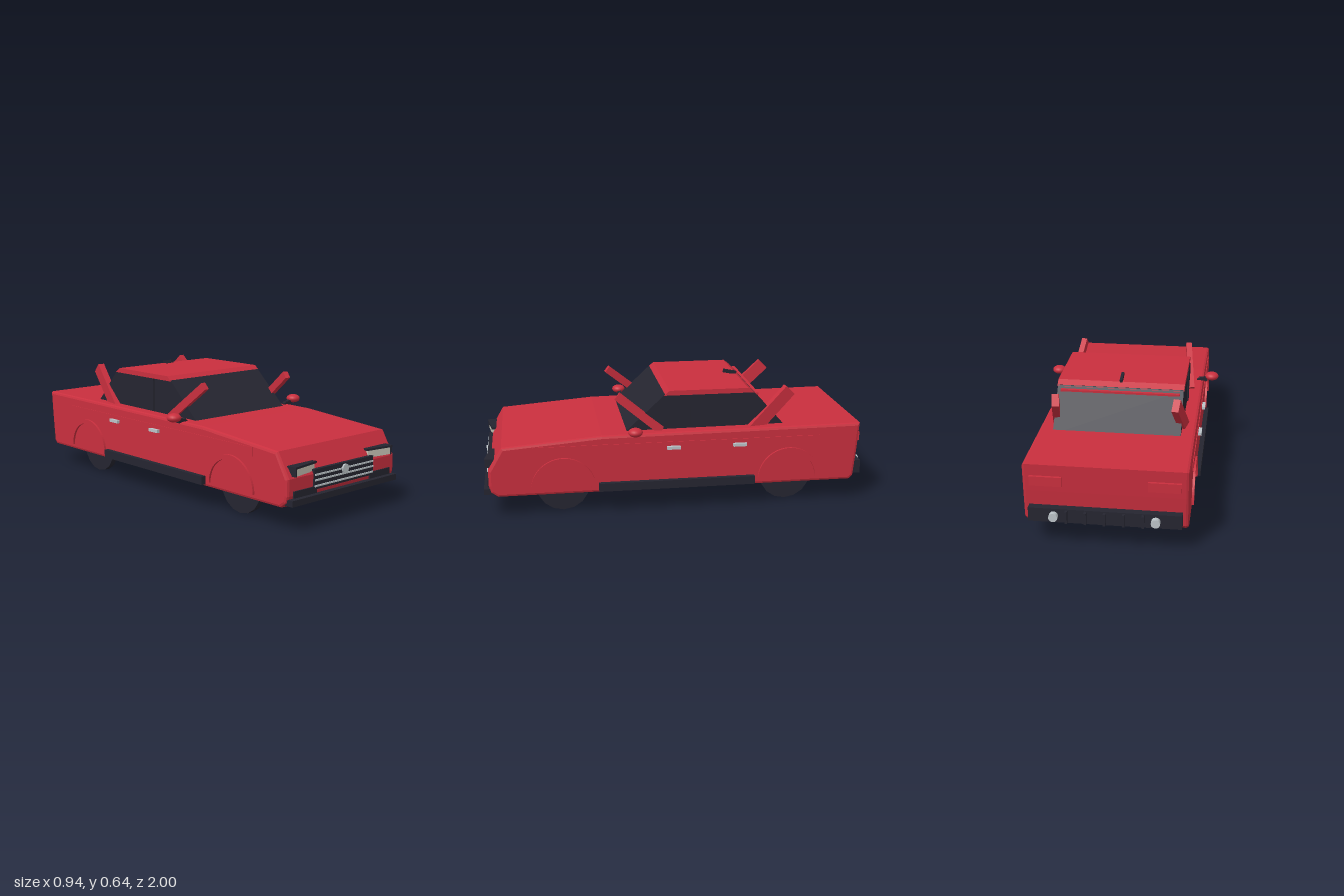
import * as THREE from 'three';

export function createModel() {
  const car = new THREE.Group();
  car.name = 'car';
  const mat = (name, color) => {
    const m = new THREE.MeshStandardMaterial({ color });
    m.name = name;
    return m;
  };
  const red = mat('red paint', 0xc92f3e);
  const black = mat('black trim and glass', 0x252530);
  const cream = mat('headlight lens', 0xcac6b8);
  const chrome = mat('chrome', 0xbcc4c8);

  const add = (name, geo, m, x = 0, y = 0, z = 0) => {
    const mesh = new THREE.Mesh(geo, m);
    mesh.name = name;
    mesh.position.set(x, y, z);
    car.add(mesh);
    return mesh;
  };
  // Box given by its limits on each axis
  const box = (name, m, x0, x1, y0, y1, z0, z1) =>
    add(name, new THREE.BoxGeometry(Math.abs(x1 - x0), y1 - y0, z1 - z0), m,
      (x0 + x1) / 2, (y0 + y1) / 2, (z0 + z1) / 2);
  // Side profile in (z, y) extruded across x, centred on x = 0
  const across = (shape, width, bevel = 0) => {
    const g = new THREE.ExtrudeGeometry(shape, {
      depth: width - 2 * bevel, bevelEnabled: bevel > 0, bevelSize: bevel,
      bevelThickness: bevel, bevelOffset: -bevel, bevelSegments: 2, curveSegments: 20,
    });
    g.translate(0, 0, -(width - 2 * bevel) / 2);
    return g.rotateY(-Math.PI / 2);
  };
  const outline = (pts) => new THREE.Shape(pts.map((p) => new THREE.Vector2(...p)));
  // Square bar between two points
  const bar = (name, m, a, b, w, h) => {
    const p = new THREE.Vector3(...a), q = new THREE.Vector3(...b);
    const mesh = add(name, new THREE.BoxGeometry(w, h, p.distanceTo(q)), m);
    mesh.position.copy(p).lerp(q, 0.5);
    mesh.lookAt(q);
    return mesh;
  };

  // Body shell
  add('body', across(outline([
    [0.93, 0.11], [0.965, 0.135], [0.975, 0.17], [0.975, 0.25], [0.905, 0.37], [0.4, 0.41],
    [0.2, 0.412], [-0.955, 0.42], [-0.945, 0.28], [-0.93, 0.13], [-0.91, 0.11],
  ]), 0.78, 0.014), red);

  // Cabin glass and roof
  add('cabinGlass', across(outline([
    [0.28, 0.4], [0.07, 0.595], [-0.395, 0.595], [-0.57, 0.4],
  ]), 0.636), black);
  add('roof', across(outline([
    [0.074, 0.59], [0.045, 0.615], [-0.365, 0.615], [-0.4, 0.59],
  ]), 0.642), red);
  box('rearRoofTrim', red, -0.3, 0.3, 0.572, 0.582, -0.425, -0.38);
  const antenna = box('antenna', black, -0.007, 0.007, 0.616, 0.634, -0.37, -0.297);
  antenna.rotation.x = -0.2;

  // Front bumper, lower trim and grille
  box('frontBumper', black, -0.38, 0.38, 0.125, 0.155, 0.93, 1);
  box('grille', black, -0.215, 0.215, 0.175, 0.272, 0.93, 0.982);
  for (const y of [0.192, 0.22, 0.246])
    box('grilleBar', chrome, -0.212, 0.212, y - 0.004, y + 0.004, 0.975, 0.987);
  add('grilleDisc', new THREE.CylinderGeometry(0.022, 0.022, 0.014, 16).rotateX(Math.PI / 2),
    chrome, 0, 0.244, 0.984);

  // Rear bumper with upright ribs
  box('rearBumper', black, -0.362, 0.362, 0.135, 0.205, -0.975, -0.92);
  for (let i = -2; i <= 2; i++)
    box('rearBumperRib', black, i * 0.09 - 0.006, i * 0.09 + 0.006, 0.14, 0.2, -0.995, -0.97);

  for (const s of [1, -1]) {
    box('lowerFrontTrim', black, s * 0.195, s * 0.35, 0.158, 0.19, 0.94, 0.982);

    // Headlight, angled with its outer end forward
    const light = new THREE.Group();
    light.name = 'headlight';
    light.position.set(s * 0.272, 0.28, 0.955);
    light.rotation.y = -s * 0.15;
    const piece = (name, m, w, h, d, x, y, z) => {
      const mesh = new THREE.Mesh(new THREE.BoxGeometry(w, h, d), m);
      mesh.name = name;
      mesh.position.set(s * x, y, z);
      light.add(mesh);
    };
    piece('headlightLens', cream, 0.15, 0.036, 0.04, 0, -0.002, 0);
    piece('headlightTopTrim', black, 0.17, 0.01, 0.05, 0, 0.021, 0);
    piece('headlightSideTrim', black, 0.008, 0.042, 0.046, 0.079, 0, 0);
    car.add(light);

    // Tail light and rear lamp
    box('tailLight', red, s * 0.2, s * 0.355, 0.315, 0.362, -0.964, -0.93);
    add('rearLamp', new THREE.CylinderGeometry(0.022, 0.022, 0.05, 12).rotateX(Math.PI / 2),
      chrome, s * 0.24, 0.17, -0.975);

    // Sill, side moulding and door handles
    box('sill', black, s * 0.37, s * 0.415, 0.122, 0.165, -0.39, 0.42);
    box('sideMoulding', red, s * 0.38, s * 0.394, 0.322, 0.366, -0.735, 0.75);
    for (const z of [0.035, -0.31])
      box('doorHandle', chrome, s * 0.385, s * 0.411, 0.329, 0.345, z - 0.035, z + 0.035);
    box('doorPost', black, s * 0.31, s * 0.325, 0.42, 0.59, -0.11, -0.065);

    // Outward-leaning pillars
    bar('frontPillar', red, [s * 0.33, 0.41, 0.09], [s * 0.296, 0.592, 0.313], 0.03, 0.04);
    bar('rearPillar', red, [s * 0.328, 0.39, -0.39], [s * 0.295, 0.592, -0.59], 0.035, 0.066);

    // Door mirror
    const shell = add('mirror', new THREE.SphereGeometry(1, 20, 14), red, s * 0.435, 0.437, 0.235);
    shell.scale.set(0.037, 0.023, 0.037);
    bar('mirrorArm', black, [s * 0.355, 0.41, 0.235], [s * 0.415, 0.43, 0.235], 0.02, 0.014)
      .rotateZ(0);
    bar('mirrorArm', black, [s * 0.365, 0.422, 0.235], [s * 0.41, 0.412, 0.235], 0.02, 0.012);

    // Wheels and arch rings
    for (const z of [0.6, -0.575]) {
      add('wheel', new THREE.CylinderGeometry(0.137, 0.137, 0.032, 16).rotateZ(Math.PI / 2),
        black, s * 0.305, 0.137, z);
      const ring = new THREE.Shape();
      ring.absarc(0, 0, 0.165, 0, Math.PI, false);
      ring.absarc(0, 0, 0.142, Math.PI, 0, true);
      add('wheelArch', across(ring, 0.025), red, s * 0.389, 0.14, z);
    }
  }
  return car;
}
